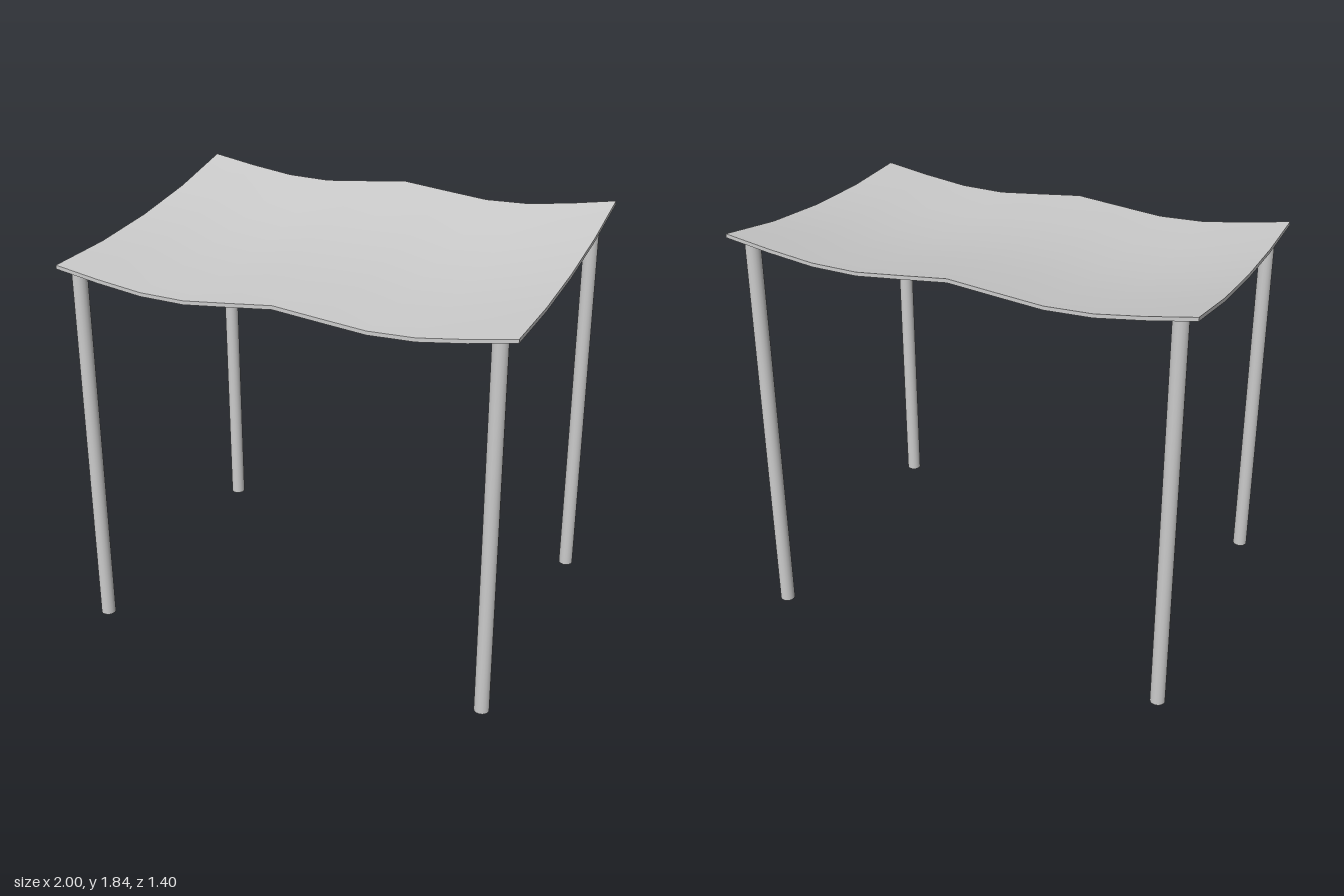
import * as THREE from 'three';

export function createModel() {
  const group = new THREE.Group();
  const material = new THREE.MeshStandardMaterial({ color: 0xcccccc });

  // Wavy top: height rule = profile across x + profile along z
  const across = [-0.025, -0.046, -0.066, -0.061, -0.034, 0]; // |x| = 0 .. 1
  const along = [0.135, 0.066, 0.022, 0, 0]; // z = -0.7 .. 0.7
  const thickness = 0.017;
  const top = new THREE.BoxGeometry(2, thickness, 1.4, 10, 1, 4);
  const p = top.attributes.position;
  for (let i = 0; i < p.count; i++) {
    const ix = Math.round(Math.abs(p.getX(i)) * 5);
    const iz = Math.round((p.getZ(i) + 0.7) / 0.35);
    p.setY(i, p.getY(i) + 1.705 - thickness / 2 + across[ix] + along[iz]);
  }
  top.computeVertexNormals();
  const topMesh = new THREE.Mesh(top, material);
  topMesh.name = 'wavyTop';
  group.add(topMesh);

  // Four round legs, the rear pair taller
  const pairs = [['front', 0.655, 1.68], ['back', -0.638, 1.802]];
  for (const [name, z, height] of pairs) {
    for (const side of [-1, 1]) {
      const leg = new THREE.Mesh(new THREE.CylinderGeometry(0.033, 0.033, height, 16), material);
      leg.position.set(side * 0.917, height / 2, z);
      leg.name = name + (side > 0 ? 'LeftLeg' : 'RightLeg');
      group.add(leg);
    }
  }
  return group;
}
